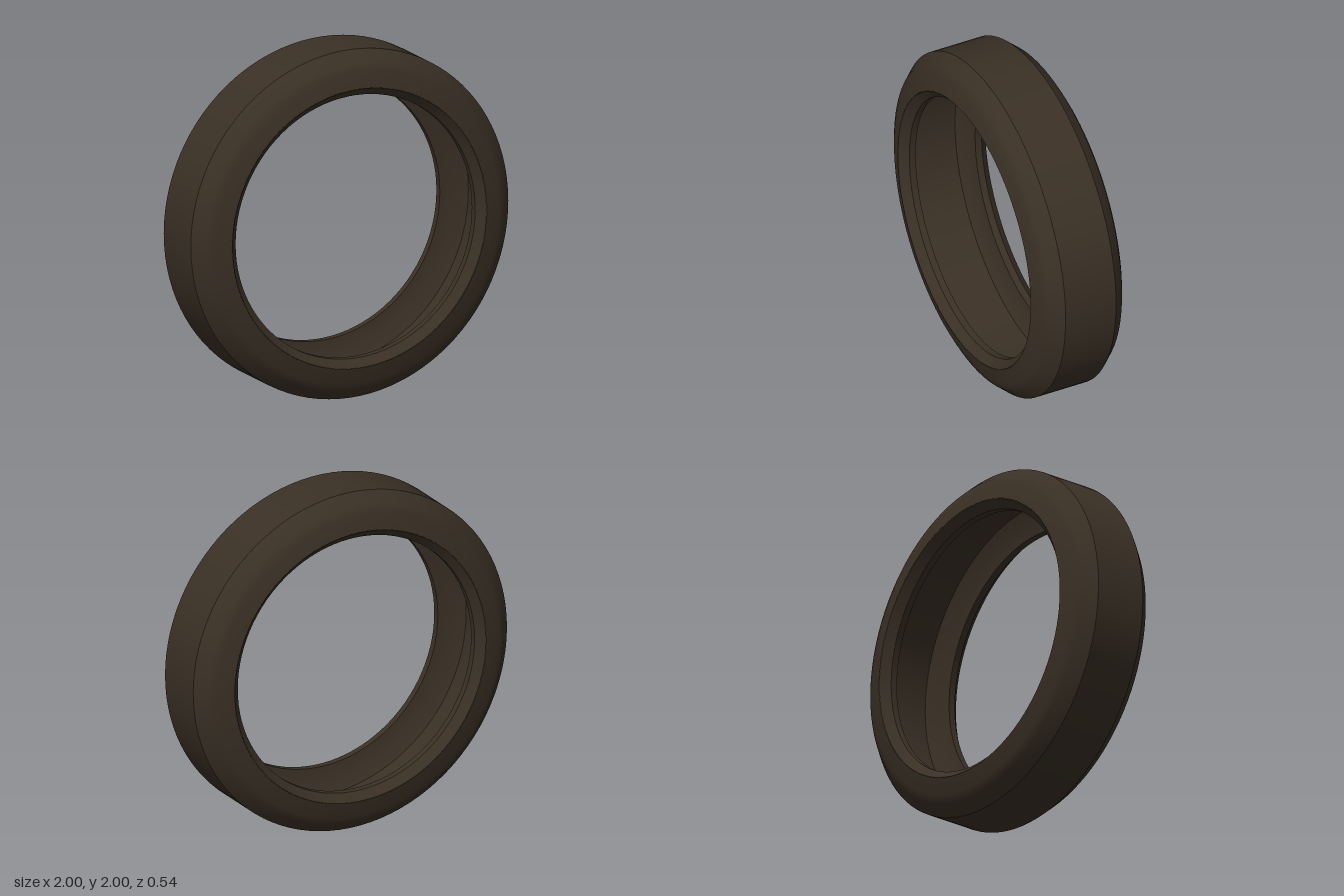
import * as THREE from 'three';

const SEGMENTS = 96;

export function createModel() {
  const rubber = new THREE.MeshStandardMaterial({ color: 0x3a3025 });
  rubber.name = 'darkRubber';

  const tyre = new THREE.Group();
  tyre.name = 'tyre';
  tyre.position.y = 1;

  // Revolves one smooth strip of [radius, z] points around the z axis
  function addBand(name, points) {
    const profile = points.map(([r, z]) => new THREE.Vector2(r, z));
    const geometry = new THREE.LatheGeometry(profile, SEGMENTS).rotateX(Math.PI / 2);
    const mesh = new THREE.Mesh(geometry, rubber);
    mesh.name = name;
    tyre.add(mesh);
  }

  // Mirrors a strip to the back, reversed so it still faces outwards
  function addPair(name, points) {
    addBand(name + 'Front', points);
    addBand(name + 'Back', points.map(([r, z]) => [r, -z]).reverse());
  }

  // Flat running surface
  addBand('tread', [[1, -0.157], [1, 0.157]]);

  // Rounded shoulder and sidewall
  addPair('sidewall', [[1, 0.157], [0.94, 0.225], [0.895, 0.248], [0.8, 0.272]]);

  // Bevelled lip and narrow seat of the bead
  addPair('beadBevel', [[0.803, 0.272], [0.755, 0.225]]);
  addPair('beadSeat', [[0.755, 0.225], [0.755, 0.185]]);

  // Hollow inside
  addPair('innerWall', [[0.755, 0.185], [0.83, 0.175], [0.91, 0.14]]);
  addBand('innerLiner', [[0.91, 0.14], [0.91, -0.14]]);

  const model = new THREE.Group();
  model.name = 'model';
  model.add(tyre);
  return model;
}
